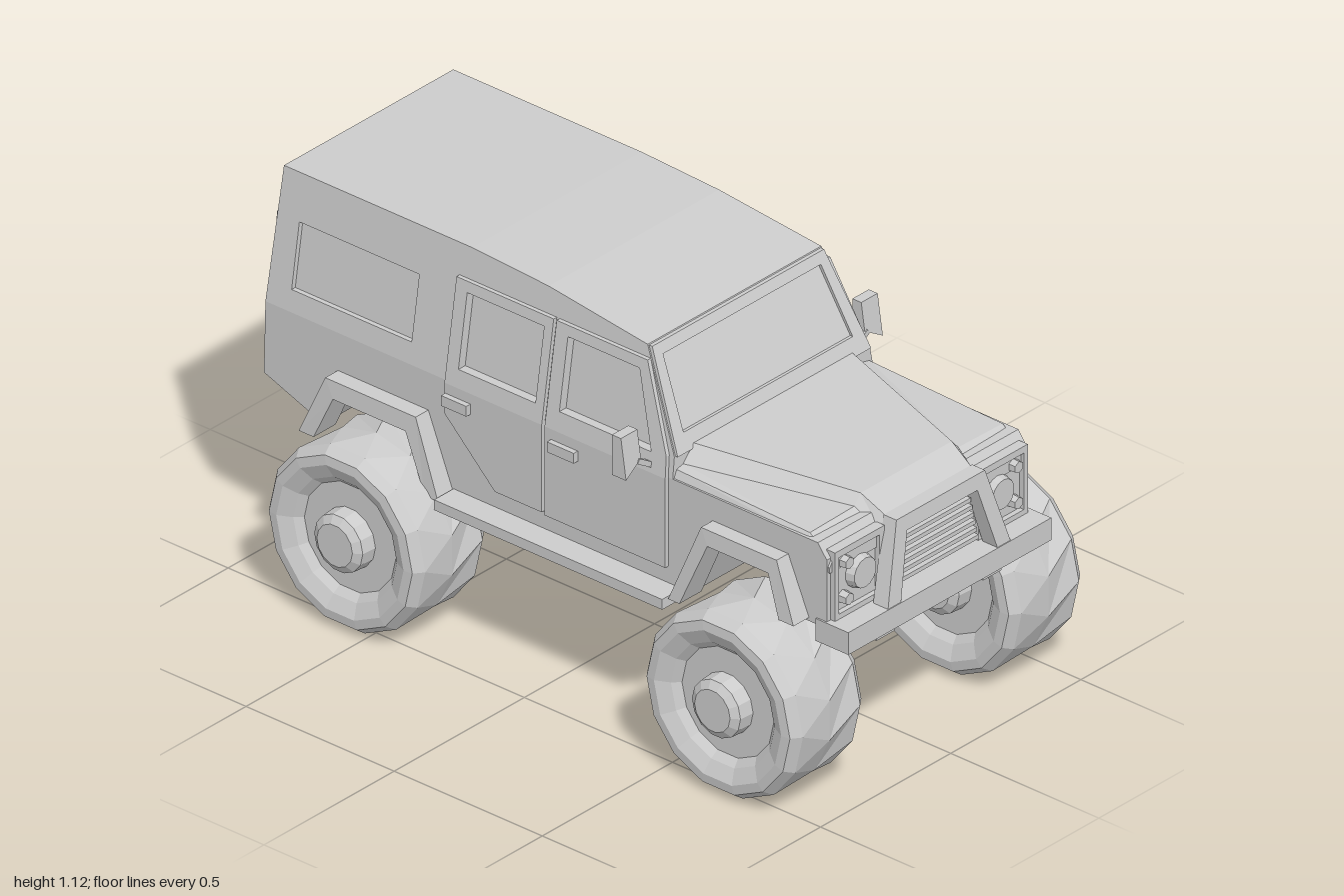
import * as THREE from 'three';

const mat = new THREE.MeshStandardMaterial({ color: 0xcccccc, flatShading: true, side: THREE.DoubleSide });

// Half width of the body: upright below the belt line, leaning in above it
const BELT = 0.74;
const halfWidth = y => y <= BELT ? 0.385 : 0.385 - 0.06 * (y - BELT) / 0.375;
const windscreenZ = y => 0.395 - (y - 0.8) * 0.125 / 0.265;
const rearZ = y => -0.98 + Math.max(0, y - 0.53) * 0.015 / 0.58;

export function createModel() {
  const model = new THREE.Group();

  const add = (name, geometry, x = 0, y = 0, z = 0) => {
    const m = new THREE.Mesh(geometry, mat);
    m.name = name;
    m.position.set(x, y, z);
    model.add(m);
    return m;
  };
  const box = (name, w, h, d, x, y, z) => add(name, new THREE.BoxGeometry(w, h, d), x, y, z);
  const vectors = pts => pts.map(p => new THREE.Vector2(p[0], p[1]));
  const rect = (x0, x1, y0, y1) => [[x0, y0], [x1, y0], [x1, y1], [x0, y1]];

  const extrude = (pts, holes) => {
    const shape = new THREE.Shape(vectors(pts));
    holes.forEach(h => shape.holes.push(new THREE.Path(vectors(h))));
    return new THREE.ExtrudeGeometry(shape, { depth: 1, bevelEnabled: false });
  };

  // Side outline in (z, y), spread across x between two rules of y
  const slab = (name, pts, holes, x0, x1) => {
    const flip = list => list.map(([z, y]) => [-z, y]);
    const g = extrude(flip(pts), holes.map(flip));
    g.rotateY(Math.PI / 2);
    const p = g.attributes.position;
    for (let i = 0; i < p.count; i++) p.setX(i, (p.getX(i) < 0.5 ? x0 : x1)(p.getY(i)));
    g.computeVertexNormals();
    return add(name, g);
  };
  const fullSlab = (name, pts, holes, inset = 0) =>
    slab(name, pts, holes, y => inset - halfWidth(y), y => halfWidth(y) - inset);
  // Panel on both flanks, from depth "inner" to "outer" relative to the body skin
  const sidePanels = (name, pts, holes, inner, outer) => {
    slab(name + 'Left', pts, holes, y => halfWidth(y) + inner, y => halfWidth(y) + outer);
    slab(name + 'Right', pts, holes, y => -halfWidth(y) - outer, y => -halfWidth(y) - inner);
  };
  // Front or rear outline in (x, y), thickened in z between two rules of y
  const facePanel = (name, pts, holes, z0, z1) => {
    const g = extrude(pts, holes);
    const p = g.attributes.position;
    for (let i = 0; i < p.count; i++) p.setZ(i, (p.getZ(i) < 0.5 ? z0 : z1)(p.getY(i)));
    g.computeVertexNormals();
    return add(name, g);
  };

  // Lower body with wheel arches
  fullSlab('lowerBody', [
    [0.92, 0.5], [0.92, 0.7], [0.89, BELT], [-0.975, BELT], [-0.98, 0.53], [-0.78, 0.455],
    [-0.7, 0.59], [-0.45, 0.59], [-0.37, 0.42], [0.45, 0.42], [0.54, 0.63], [0.77, 0.63], [0.83, 0.5]], []);

  // Cabin shell with window openings and a recessed glass core
  const frontWindow = [[0.33, 0.795], [0.262, 1], [0.02, 1], [0.02, 0.795]];
  const rearWindow = rect(-0.32, -0.06, 0.79, 1);
  const cargoWindow = rect(-0.895, -0.49, 0.8, 0.985);
  const cabin = [[0.4, BELT], [0.397, 0.8], [0.27, 1.063], [-0.07, 1.102], [-0.33, 1.115], [-0.965, 1.115], [-0.975, BELT]];
  fullSlab('cabin', cabin, [frontWindow, rearWindow, cargoWindow]);
  fullSlab('sideGlass', [[0.37, 0.75], [0.25, 1.04], [-0.94, 1.04], [-0.94, 0.75]], [], 0.014);

  // Doors: upper frame and lower skin
  sidePanels('frontDoorFrame', [[0.385, BELT], [0.38, 0.8], [0.285, 1.03], [-0.022, 1.03], [-0.022, BELT]], [frontWindow], -0.01, 0.012);
  sidePanels('frontDoor', rect(-0.022, 0.385, 0.48, BELT), [], -0.01, 0.012);
  sidePanels('rearDoorFrame', rect(-0.36, -0.032, BELT, 1.03), [rearWindow], -0.01, 0.012);
  sidePanels('rearDoor', [[-0.36, BELT], [-0.36, 0.65], [-0.19, 0.485], [-0.032, 0.485], [-0.032, BELT]], [], -0.01, 0.012);

  // Windscreen surround
  const edge = y => halfWidth(y) - 0.004;
  facePanel('windscreenFrame',
    [[-edge(0.8), 0.8], [edge(0.8), 0.8], [edge(1.06), 1.06], [-edge(1.06), 1.06]],
    [[[-0.325, 0.845], [0.325, 0.845], [0.303, 1.032], [-0.303, 1.032]]],
    y => windscreenZ(y) - 0.01, y => windscreenZ(y) + 0.01);

  // Bonnet lofted through hat-shaped sections with a tapering raised centre
  const sections = [
    [0.4, 0.72, [0.38, 0.74], [0.37, 0.762], [0.345, 0.768], [0.305, 0.812]],
    [0.85, 0.7, [0.38, 0.735], [0.37, 0.748], [0.2, 0.752], [0.175, 0.78]],
    [0.925, 0.66, [0.38, 0.675], [0.37, 0.69], [0.185, 0.7], [0.165, 0.738]],
  ];
  const verts = [], index = [];
  sections.forEach(([z, base, ...half]) => {
    const loop = [[0, base], [half[0][0], base], ...half,
      ...half.slice().reverse().map(([x, y]) => [-x, y]), [-half[0][0], base]];
    loop.forEach(([x, y]) => verts.push(x, y, z));
  });
  const n = 11;
  for (let s = 0; s < 2; s++) for (let i = 0; i < n; i++) {
    const a = s * n + i, b = s * n + (i + 1) % n;
    index.push(a, b, b + n, a, b + n, a + n);
  }
  for (let i = 1; i < n - 1; i++) index.push(2 * n, 2 * n + i, 2 * n + i + 1);
  const bonnet = new THREE.BufferGeometry();
  bonnet.setAttribute('position', new THREE.Float32BufferAttribute(verts, 3));
  bonnet.setIndex(index);
  bonnet.computeVertexNormals();
  add('bonnet', bonnet);

  // Front face: grille slats, guard, bumper and skid plate
  for (let i = 0; i < 7; i++) box('grilleSlat', 0.34 - i * 0.012, 0.012, 0.03, 0, 0.54 + i * 0.024, 0.93);
  facePanel('grilleGuard', [[-0.235, 0.52], [-0.17, 0.742], [0.17, 0.742], [0.235, 0.52], [0.185, 0.52], [0.135, 0.7], [-0.135, 0.7], [-0.185, 0.52]], [],
    y => 0.945 - (y - 0.52) * 0.1, y => 0.995 - (y - 0.52) * 0.13);
  box('bumper', 0.78, 0.065, 0.11, 0, 0.487, 0.942);
  facePanel('skidPlate', [[-0.15, 0.405], [0.15, 0.405], [0.165, 0.46], [-0.165, 0.46]], [],
    () => 0.8, y => 0.89 + (y - 0.405));

  // Tailgate with window opening
  const gateWindow = [[-0.2, 0.79], [0.2, 0.79], [0.195, 0.95], [0.17, 0.985], [-0.17, 0.985], [-0.195, 0.95]];
  facePanel('tailgate', [[-0.235, 0.53], [0.235, 0.53], [0.235, 0.98], [0.21, 1.018], [-0.21, 1.018], [-0.235, 0.98]],
    [gateWindow], () => -1, y => rearZ(y) + 0.01);
  box('tailgateHinge', 0.02, 0.38, 0.02, 0.25, 0.76, -0.982);

  // Parts repeated on both flanks
  const frontFlare = [[0.86, 0.51], [0.79, 0.67], [0.535, 0.67], [0.437, 0.43], [0.475, 0.43], [0.56, 0.625], [0.765, 0.625], [0.81, 0.51]];
  const rearFlare = [[-0.34, 0.42], [-0.425, 0.63], [-0.73, 0.63], [-0.81, 0.45], [-0.76, 0.45], [-0.7, 0.58], [-0.455, 0.58], [-0.385, 0.42]];
  const flareOut = y => 0.06 - Math.max(0, y - 0.52) * 0.1;
  for (const s of [-1, 1]) {
    for (const [name, pts] of [['frontFlare', frontFlare], ['rearFlare', rearFlare]]) {
      const outer = y => s * (0.385 + flareOut(y)), inner = () => s * 0.36;
      slab(name, pts, [], s > 0 ? inner : outer, s > 0 ? outer : inner);
    }
    box('sill', 0.09, 0.03, 0.77, s * 0.415, 0.417, 0.045);
    box('frontDoorHandle', 0.02, 0.03, 0.09, s * 0.403, 0.695, 0.045);
    box('rearDoorHandle', 0.02, 0.03, 0.085, s * 0.403, 0.695, -0.315);
    box('towMount', 0.07, 0.04, 0.08, s * 0.205, 0.437, 0.92);

    // Headlamp panel
    facePanel('headlampFrame', [[s * 0.18, 0.52], [s * 0.37, 0.52], [s * 0.37, 0.72], [s * 0.18, 0.72]],
      [rect(0.2, 0.355, 0.535, 0.7).map(([x, y]) => [s * x, y])], () => 0.9, () => 0.935);
    for (const [name, r, x, y, sides] of [['headlamp', 0.05, 0.265, 0.622, 14], ['sideLamp', 0.02, 0.325, 0.675, 6], ['indicatorLamp', 0.02, 0.325, 0.57, 6]]) {
      const lamp = new THREE.CylinderGeometry(r * 0.85, r, 0.03, sides).rotateX(Math.PI / 2);
      add(name, lamp, s * x, y, 0.93);
    }

    // Door mirror and arm
    facePanel('mirror', [[s * 0.43, 0.795], [s * 0.493, 0.758], [s * 0.493, 0.875], [s * 0.43, 0.875]], [],
      y => 0.29, y => 0.32 + (0.875 - y) * 0.15);
    const arm = box('mirrorArm', 0.075, 0.015, 0.02, s * 0.41, 0.772, 0.325);
    arm.rotation.z = s * 0.55;

    // Rear corner window and tail lamp surrounds
    facePanel('rearCornerWindow', rect(0.265, 0.335, 0.79, 0.98).map(([x, y]) => [s * x, y]),
      [rect(0.277, 0.323, 0.805, 0.965).map(([x, y]) => [s * x, y])], y => rearZ(y) - 0.012, y => rearZ(y) + 0.01);
    facePanel('tailLamp', rect(0.295, 0.365, 0.565, 0.65).map(([x, y]) => [s * x, y]),
      [rect(0.307, 0.353, 0.59, 0.638).map(([x, y]) => [s * x, y])], y => rearZ(y) - 0.012, y => rearZ(y) + 0.01);
  }

  // Wheels: lathed around x, with the middle tread ring twisted into chevrons
  const half = [[0, -0.16], [0.06, -0.16], [0.082, -0.145], [0.085, -0.1], [0.155, -0.1], [0.175, -0.12], [0.215, -0.14], [0.242, -0.137], [0.262, -0.11]];
  const profile = [...half, [0.262, 0], ...half.slice().reverse().map(([r, x]) => [r, -x])];
  const SIDES = 14;
  const wheel = new THREE.LatheGeometry(vectors(profile), SIDES);
  const p = wheel.attributes.position, v = new THREE.Vector3(), axis = new THREE.Vector3(0, 1, 0);
  for (let i = 0; i < p.count; i++) {
    if (i % profile.length !== half.length) continue;
    v.fromBufferAttribute(p, i).applyAxisAngle(axis, Math.PI / SIDES);
    p.setXYZ(i, v.x, v.y, v.z);
  }
  wheel.rotateZ(-Math.PI / 2);
  wheel.computeVertexNormals();
  for (const s of [-1, 1]) {
    add('frontWheel', wheel, s * 0.42, 0.262, 0.705);
    add('rearWheel', wheel, s * 0.42, 0.262, -0.57);
  }
  return model;
}
